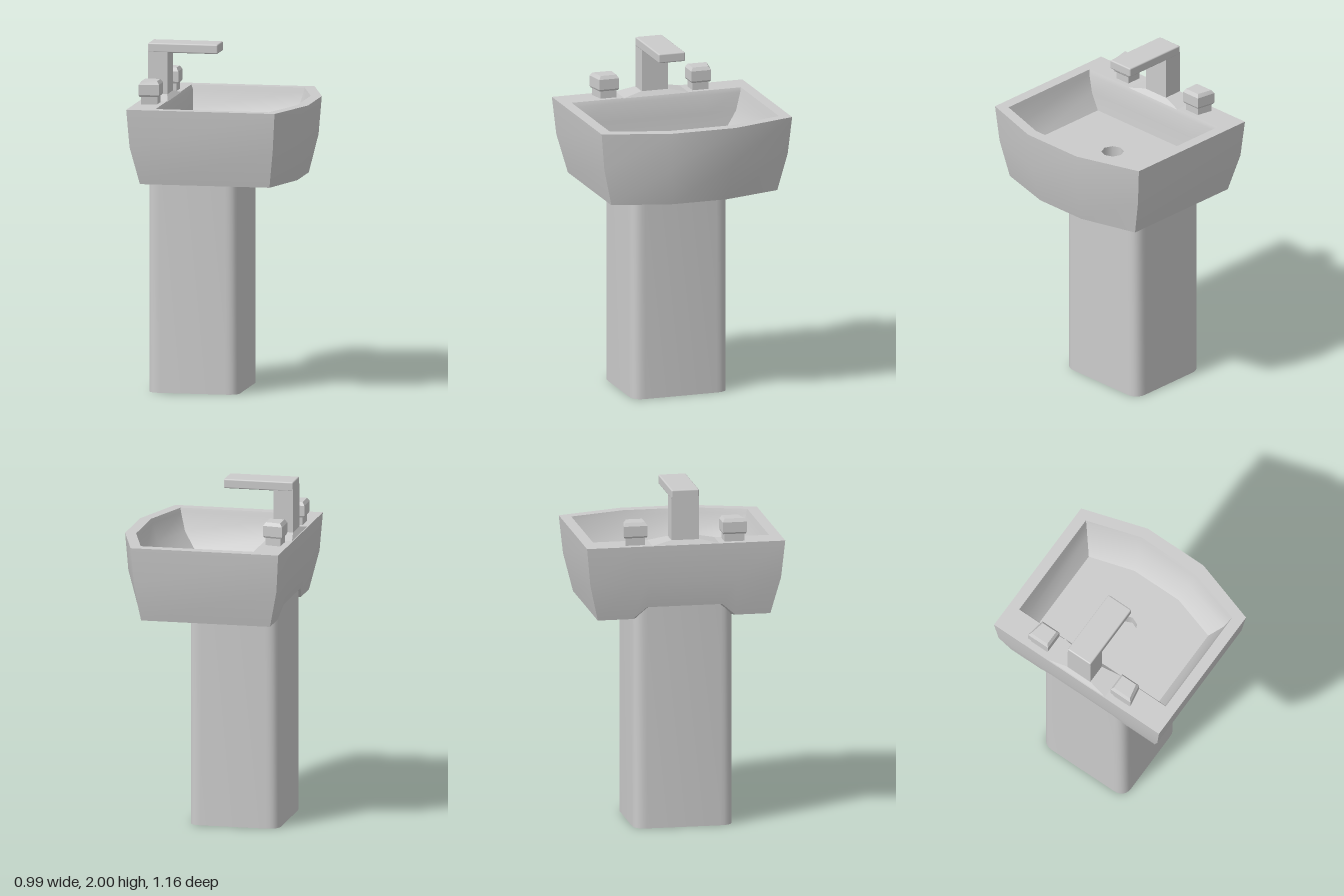
import * as THREE from 'three';
import { toCreasedNormals } from 'three/addons/utils/BufferGeometryUtils.js';
import { RoundedBoxGeometry } from 'three/addons/geometries/RoundedBoxGeometry.js';

const material = new THREE.MeshStandardMaterial({ color: 0xcccccc });
const innerMaterial = new THREE.MeshStandardMaterial({ color: 0xcccccc, side: THREE.DoubleSide });

// Joins rings of [x, y, z] points (counterclockwise seen from above), optionally capped.
function loft(rings, capStart, capEnd, crease = 0.5) {
  const pos = [];
  const tri = (a, b, c) => pos.push(...a, ...b, ...c);
  const n = rings[0].length;
  for (let r = 0; r < rings.length - 1; r++) {
    for (let i = 0; i < n; i++) {
      const j = (i + 1) % n, a = rings[r], b = rings[r + 1];
      tri(a[i], a[j], b[j]);
      tri(a[i], b[j], b[i]);
    }
  }
  const cap = (ring, up) => {
    const mid = [0, 1, 2].map(k => ring.reduce((s, p) => s + p[k], 0) / n);
    mid[1] = ring[0][1];
    ring.forEach((p, i) => {
      const q = ring[(i + 1) % n];
      if (up) tri(mid, p, q); else tri(mid, q, p);
    });
  };
  if (capStart) cap(rings[0], false);
  if (capEnd) cap(rings[rings.length - 1], true);
  const geo = new THREE.BufferGeometry();
  geo.setAttribute('position', new THREE.Float32BufferAttribute(pos, 3));
  geo.computeVertexNormals();
  return toCreasedNormals(geo, crease);
}

// Six-sided basin outline with a subdivided back edge; notch lifts the middle of that edge.
function basinRing(y, back, cornerX, cornerZ, frontX, frontZ, notch = 0) {
  const lifted = z => [back - notch * 0.22, y + notch, z];
  return [
    [back, y, cornerZ], [cornerX, y, cornerZ], [frontX, y, frontZ],
    [frontX, y, -frontZ], [cornerX, y, -cornerZ], [back, y, -cornerZ],
    [back, y, -0.3], lifted(-0.22), lifted(0.22), [back, y, 0.3],
  ];
}

const rect = (y, x0, x1, z0, z1) => [[x0, y, z1], [x1, y, z1], [x1, y, z0], [x0, y, z0]];

function mesh(name, geometry, mat = material) {
  const m = new THREE.Mesh(geometry, mat);
  m.name = name;
  return m;
}

function makePedestal() {
  const x0 = -0.43, x1 = 0.1, z = 0.29, r = 0.075;
  const s = new THREE.Shape();
  s.moveTo(x0 + r, -z);
  s.lineTo(x1 - r, -z);
  s.quadraticCurveTo(x1, -z, x1, -z + r);
  s.lineTo(x1, z - r);
  s.quadraticCurveTo(x1, z, x1 - r, z);
  s.lineTo(x0 + r, z);
  s.quadraticCurveTo(x0, z, x0, z - r);
  s.lineTo(x0, -z + r);
  s.quadraticCurveTo(x0, -z, x0 + r, -z);
  const geo = new THREE.ExtrudeGeometry(s, { depth: 1.33, bevelEnabled: false, curveSegments: 6 });
  geo.rotateX(-Math.PI / 2);
  return mesh('pedestal', toCreasedNormals(geo, 0.6));
}

function makeBasin() {
  const group = new THREE.Group();
  group.name = 'basin';
  // Outside from the underside up, over the rim, then down the inside
  group.add(mesh('basinBody', loft([
    basinRing(1.24, -0.43, 0.33, 0.505, 0.425, 0.165, 0.07),
    basinRing(1.46, -0.48, 0.36, 0.558, 0.478, 0.185),
    basinRing(1.68, -0.495, 0.375, 0.58, 0.495, 0.195),
    basinRing(1.68, -0.335, 0.33, 0.515, 0.43, 0.195),
    basinRing(1.655, -0.325, 0.325, 0.508, 0.42, 0.19),
    basinRing(1.55, -0.318, 0.295, 0.48, 0.385, 0.178),
    basinRing(1.46, -0.305, 0.225, 0.42, 0.305, 0.155),
  ], true, false)));

  // Basin floor with an eight-sided drain hole
  const floorY = 1.46, drainR = 0.065;
  const floor = new THREE.Shape(basinRing(floorY, -0.305, 0.225, 0.42, 0.305, 0.155)
    .map(([x, , z]) => new THREE.Vector2(x, -z)));
  const hole = new THREE.Path();
  for (let i = 0; i < 8; i++) {
    const a = -i * Math.PI / 4;
    const x = drainR * Math.cos(a), y = drainR * Math.sin(a);
    if (i) hole.lineTo(x, y); else hole.moveTo(x, y);
  }
  hole.closePath();
  floor.holes.push(hole);
  const floorGeo = new THREE.ShapeGeometry(floor).rotateX(-Math.PI / 2).translate(0, floorY, 0);
  group.add(mesh('basinFloor', floorGeo));

  const depth = 0.09;
  const pipe = new THREE.CylinderGeometry(drainR, drainR, depth, 8, 1, true)
    .rotateY(Math.PI / 2).translate(0, floorY - depth / 2, 0);
  group.add(mesh('drainWall', pipe, innerMaterial));
  const plug = new THREE.CircleGeometry(drainR, 8).rotateX(-Math.PI / 2).translate(0, floorY - depth, 0);
  group.add(mesh('drainBottom', plug));
  return group;
}

function makeFaucet() {
  const group = new THREE.Group();
  group.name = 'faucet';
  // Low sloped mound under the post
  group.add(mesh('faucetMound', loft([
    rect(1.679, -0.49, -0.33, -0.2, 0.2),
    rect(1.705, -0.47, -0.355, -0.085, 0.085),
  ], false, true, 0.1)));
  group.add(mesh('faucetPost', new THREE.BoxGeometry(0.115, 0.27, 0.16).translate(-0.4125, 1.825, 0)));
  group.add(mesh('faucetSpout', new RoundedBoxGeometry(0.41, 0.055, 0.162, 2, 0.008).translate(-0.265, 1.9725, 0)));
  return group;
}

function makeTap(side) {
  const group = new THREE.Group();
  group.name = side > 0 ? 'leftTap' : 'rightTap';
  const z0 = 0.22;
  // Knob section: outer side slants in towards the front of the basin
  const knob = (y, inset) => {
    const pts = [
      [-0.467 + inset, y, 0.36 - inset], [-0.352 - inset, y, 0.34 - inset],
      [-0.352 - inset, y, z0 + inset], [-0.467 + inset, y, z0 + inset],
    ];
    return side > 0 ? pts : pts.map(([x, h, z]) => [x, h, -z]).reverse();
  };
  group.add(mesh('tapStem', loft([knob(1.675, 0.012), knob(1.73, 0.012)], false, false)));
  group.add(mesh('tapKnob', loft(
    [knob(1.725, 0.005), knob(1.735, 0), knob(1.795, 0), knob(1.815, 0.013)], true, true, 0.3)));
  return group;
}

export function createModel() {
  const model = new THREE.Group();
  model.name = 'pedestalSink';
  model.add(makePedestal(), makeBasin(), makeFaucet(), makeTap(1), makeTap(-1));
  return model;
}
